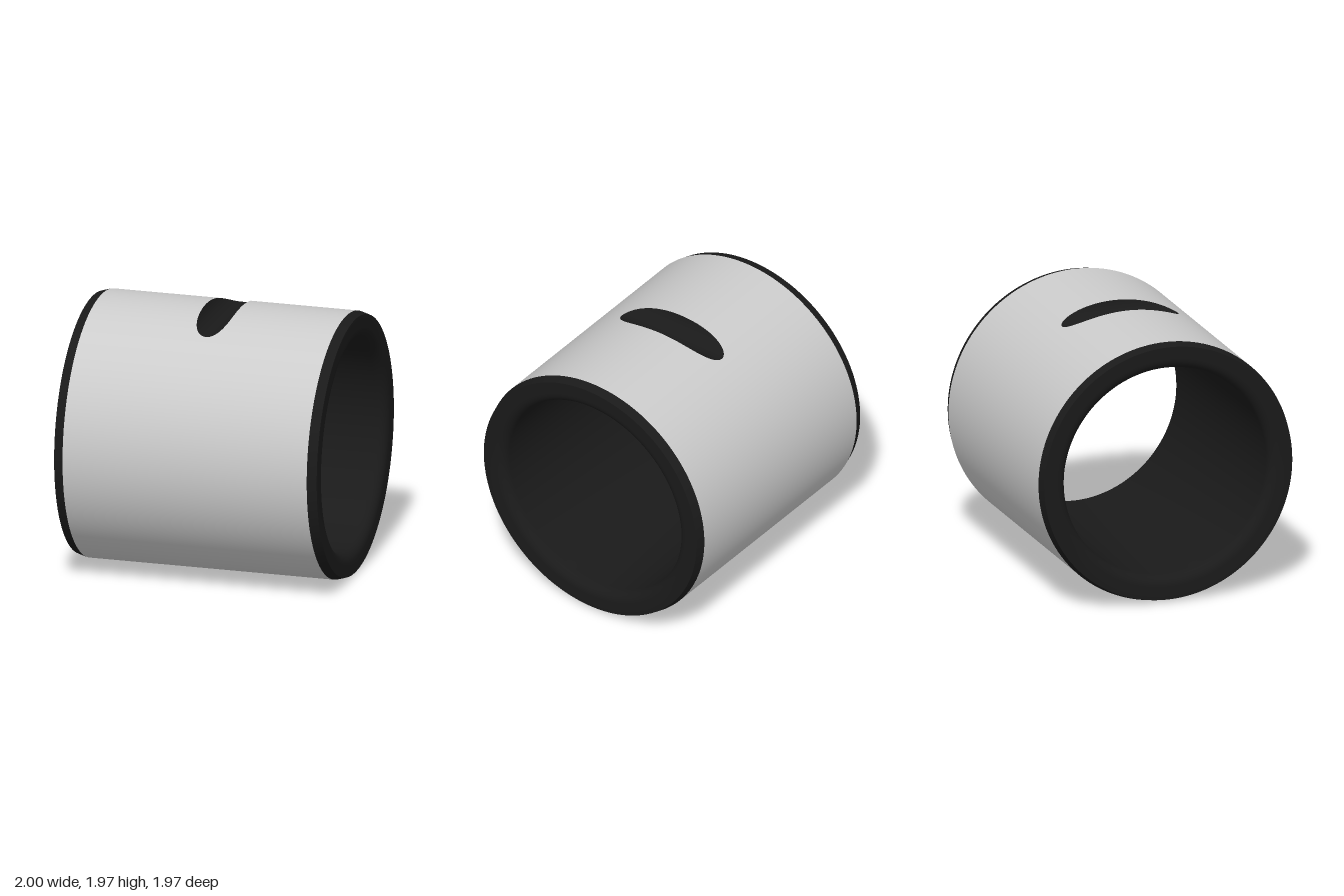
import * as THREE from 'three';
import { toCreasedNormals } from 'three/addons/utils/BufferGeometryUtils.js';
import { ParametricGeometry } from 'three/addons/geometries/ParametricGeometry.js';

const R = 0.985;        // outer radius, also the height of the axis
const BORE = 0.79;      // bore radius
const BODY = 0.93;      // half length of the straight outer wall
const FILLET = 0.08;    // rounding of the bore mouths
const CUT_R = 0.135;    // radius of the cross groove
const CUT_Y = R + 1.01; // height of the groove's axis

// Angle from the top at which the groove runs out of the outer wall
const END = Math.acos((CUT_Y - CUT_R - R) / R);
// Half width of the groove where it meets the outer wall
const halfWidth = (a) => Math.sqrt(Math.max(0, CUT_R ** 2 - (R + R * Math.cos(a) - CUT_Y) ** 2));
// Rows bunch up towards the rounded groove ends
const grooveAngle = (v) => END * Math.cos(Math.PI * v);

export function createModel() {
  const group = new THREE.Group();
  const grey = new THREE.MeshStandardMaterial({ color: 0xcccccc });
  const black = new THREE.MeshStandardMaterial({ color: 0x1a1a1a });
  const add = (name, geometry, material) => {
    const mesh = new THREE.Mesh(geometry, material);
    mesh.name = name;
    group.add(mesh);
  };
  const onWall = (x, a, target) => target.set(x, R + R * Math.cos(a), R * Math.sin(a));

  // Outer wall away from the groove
  add('outerWall', new ParametricGeometry((u, v, p) => {
    onWall(BODY * (2 * u - 1), -END - v * 2 * (Math.PI - END), p);
  }, 1, 128), grey);

  // Outer wall on both sides of the groove
  for (const side of [-1, 1]) {
    add(side < 0 ? 'outerWallRight' : 'outerWallLeft', new ParametricGeometry((u, v, p) => {
      const a = grooveAngle(v);
      const t = side < 0 ? 1 - u : u;
      onWall(side * THREE.MathUtils.lerp(halfWidth(a), BODY, t), a, p);
    }, 1, 48), grey);
  }

  // Round-bottomed groove running straight across the top
  add('groove', new ParametricGeometry((u, v, p) => {
    const a = grooveAngle(v);
    const x = -halfWidth(a) * Math.cos(Math.PI * u);
    p.set(x, CUT_Y - Math.sqrt(Math.max(0, CUT_R ** 2 - x * x)), R * Math.sin(a));
  }, 24, 48), black);

  // Chamfers, end faces, rounded mouths and bore as one turned profile
  const half = [new THREE.Vector2(R, BODY), new THREE.Vector2(0.965, 1)];
  for (let i = 0; i <= 6; i++) {
    const t = (i / 6) * Math.PI / 2;
    half.push(new THREE.Vector2(BORE + FILLET * (1 - Math.sin(t)), 1 - FILLET * (1 - Math.cos(t))));
  }
  const mirrored = half.map((p) => new THREE.Vector2(p.x, -p.y)).reverse();
  const lining = new THREE.LatheGeometry([...half, ...mirrored], 144);
  lining.rotateZ(Math.PI / 2);
  lining.translate(0, R, 0);
  add('boreAndEnds', toCreasedNormals(lining, 0.5), black);

  return group;
}
